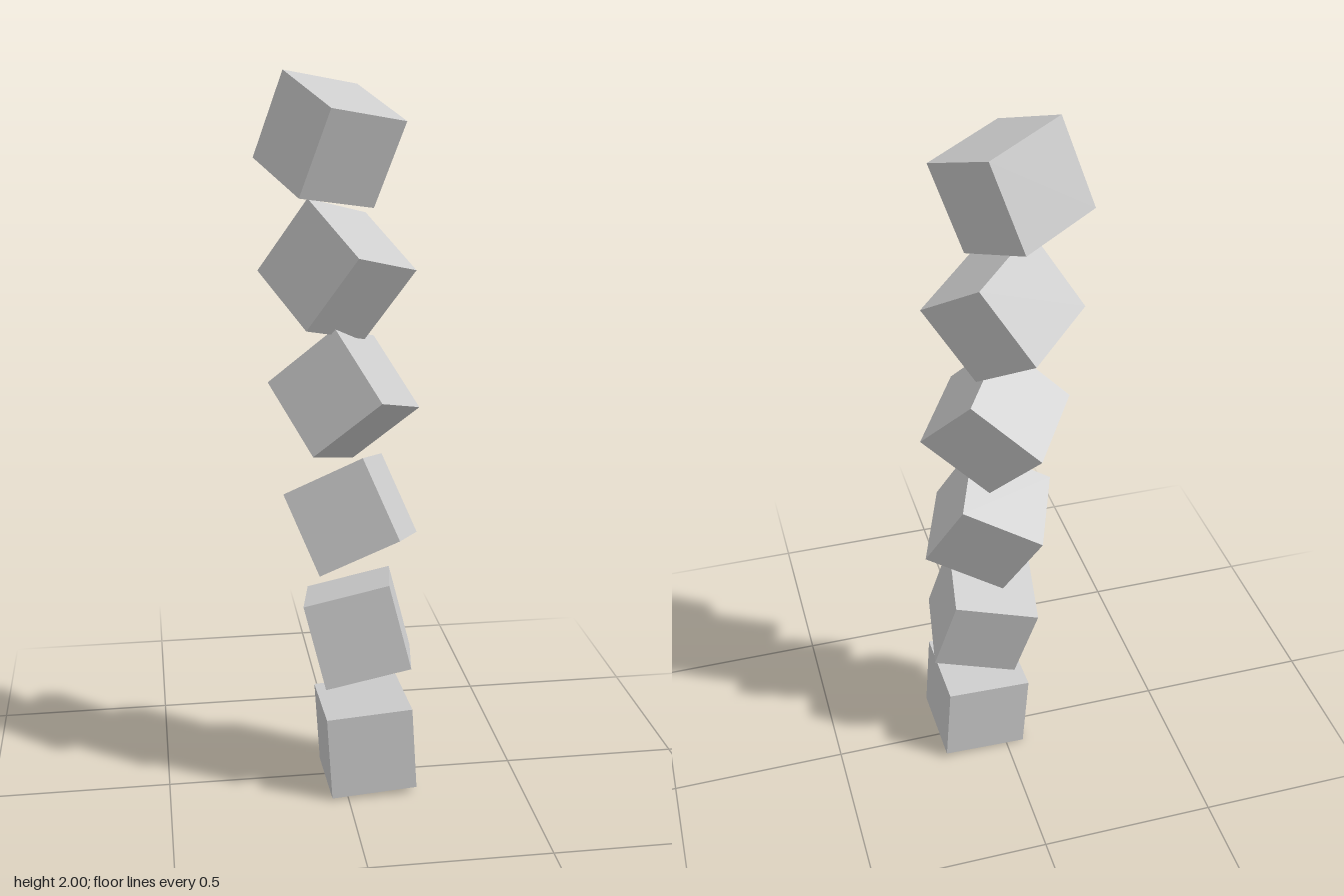
import * as THREE from 'three';

// A twisting column of six equal cubes, each turned a bit further about a tilted axis.
export function createModel() {
  const model = new THREE.Group();
  model.name = 'cubeColumn';

  const paleGrey = new THREE.MeshStandardMaterial({ color: 0xcccccc });
  paleGrey.name = 'paleGrey';

  const count = 6;
  const edge = 0.243;
  const cube = new THREE.BoxGeometry(edge, edge, edge);

  // Position and rotation vector (axis times degrees) of the lowest cube, and the change per cube
  const firstPosition = new THREE.Vector3(0.065, 0.132, 0.024);
  const positionStep = new THREE.Vector3(-0.0194, 0.3386, -0.0058);
  const firstTurn = new THREE.Vector3(-1.0, 1.4, 3.4);
  const turnStep = new THREE.Vector3(-8.7, -9.66, 10.8);

  for (let i = 0; i < count; i++) {
    const mesh = new THREE.Mesh(cube, paleGrey);
    mesh.name = `cube${i + 1}`;
    mesh.position.copy(firstPosition).addScaledVector(positionStep, i);
    const turn = firstTurn.clone().addScaledVector(turnStep, i);
    const angle = THREE.MathUtils.degToRad(turn.length());
    mesh.quaternion.setFromAxisAngle(turn.normalize(), angle);
    model.add(mesh);
  }
  return model;
}
